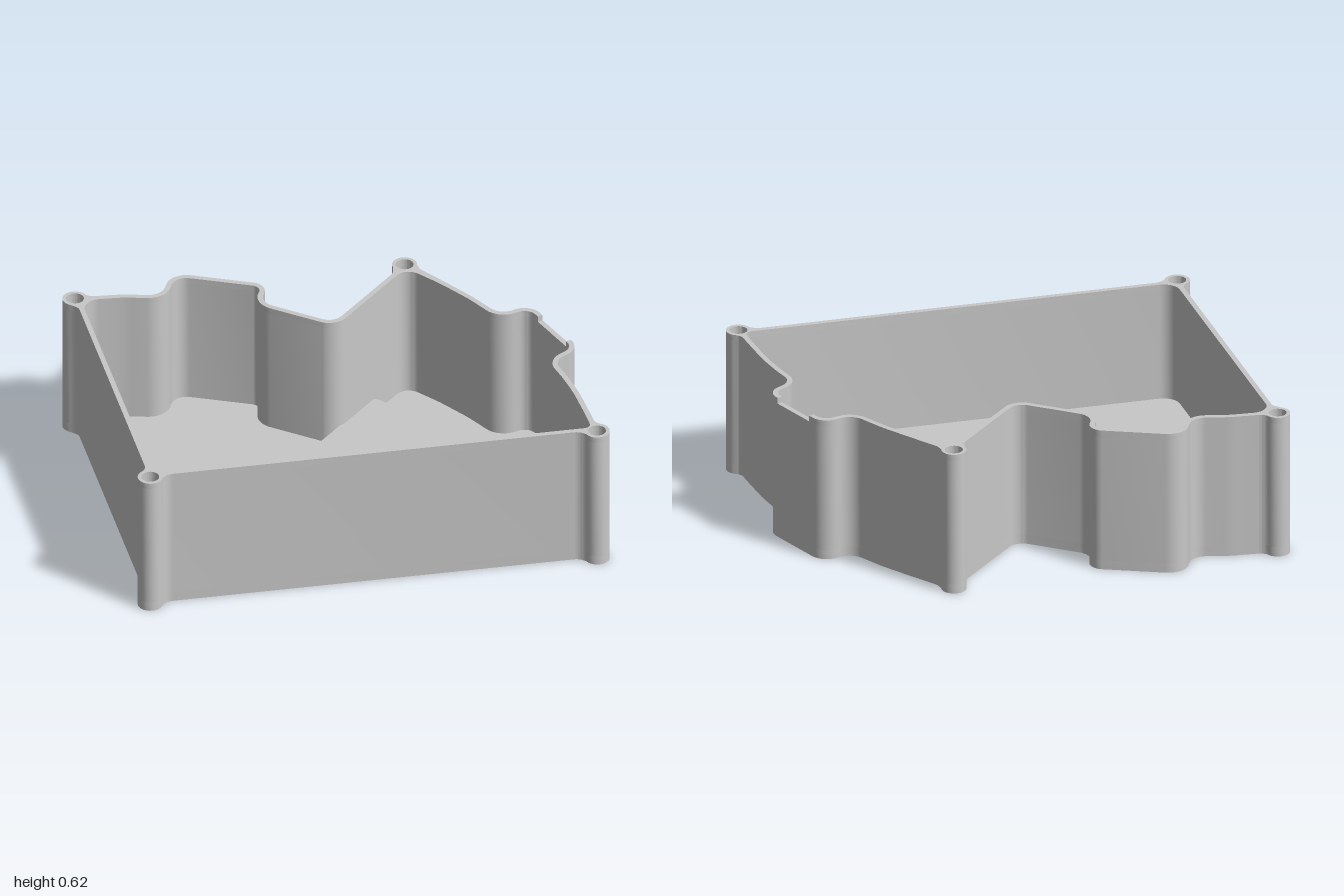
import * as THREE from 'three';
import { toCreasedNormals } from 'three/addons/utils/BufferGeometryUtils.js';

const HEIGHT = 0.617, FLOOR = 0.04, LEDGE = 0.11, NOTCH = 0.592, WALL = 0.022;
const POSTS = { bl: [-0.947, -0.645], br: [0.403, -0.645], fr: [0.948, 0.672], fl: [-0.882, 0.672] };

// Wall runs between the corner posts, as [x, z, corner radius]
const BACK = [
  [-0.75, -0.638, 0.4], [-0.6, -0.603, 0.07], [-0.533, -0.755, 0.085], [-0.16, -0.602, 0.075],
  [-0.222, -0.485, 0.07], [0.048, -0.287, 0.06],
];
const NOTCH_A = [0.883, -0.185, 0], NOTCH_B = [0.962, 0.01, 0];
const RIGHT = [
  [0.533, -0.5, 0.8], [0.63, -0.366, 0.8], [0.715, -0.222, 0.07], [0.85, -0.268, 0.08], NOTCH_A, NOTCH_B,
  [0.99, 0.08, 0.075], [0.867, 0.143, 0.07], [0.9, 0.26, 0.5], [0.925, 0.377, 0.8], [0.946, 0.564, 0.8],
];

// Points around the outside of a corner post
function postArc([cx, cz], from, to) {
  const pts = [];
  for (let i = 0; i <= 16; i++) {
    const a = THREE.MathUtils.degToRad(from + (to - from) * i / 16);
    pts.push([cx + 0.051 * Math.cos(a), cz + 0.051 * Math.sin(a), 0]);
  }
  return pts;
}

// Closed polyline with its corners rounded by circular arcs
function rounded(list) {
  const out = [], n = list.length;
  const add = p => {
    if (!out.length || out[out.length - 1].distanceTo(p) > 1e-4) out.push(p);
  };
  const v = list.map(p => new THREE.Vector2(p[0], p[1]));
  list.forEach(([, , r], i) => {
    const p = v[i], prev = (i + n - 1) % n, next = (i + 1) % n;
    if (!r) return add(p);
    const a = v[prev].clone().sub(p), b = v[next].clone().sub(p);
    const la = a.length(), lb = b.length();
    const room = k => (list[k][2] ? 0.49 : 0.95);
    const turn = Math.PI - Math.acos(THREE.MathUtils.clamp(a.dot(b) / (la * lb), -1, 1));
    const len = Math.min(r * Math.tan(turn / 2), la * room(prev), lb * room(next));
    const start = p.clone().addScaledVector(a, len / la), end = p.clone().addScaledVector(b, len / lb);
    for (let j = 0; j <= 10; j++) {
      const t = j / 10, w0 = (1 - t) ** 2, w1 = 2 * t * (1 - t) * Math.cos(turn / 2), w2 = t * t;
      add(new THREE.Vector2().addScaledVector(start, w0).addScaledVector(p, w1)
        .addScaledVector(end, w2).divideScalar(w0 + w1 + w2));
    }
  });
  return out;
}

// Moves a closed polyline inward by a fixed distance
function inset(pts, d) {
  const n = pts.length;
  const normal = (p, q) => new THREE.Vector2(p.y - q.y, q.x - p.x).normalize();
  return pts.map((p, i) => {
    const n1 = normal(pts[(i + n - 1) % n], p), n2 = normal(p, pts[(i + 1) % n]);
    const m = n1.clone().add(n2).normalize();
    return p.clone().addScaledVector(m, d / Math.max(m.dot(n1), 0.5));
  });
}

// Plan points to shape points, wound counter-clockwise so that holes face inward
const toShape = pts => pts.map(p => new THREE.Vector2(p.x, -p.y)).reverse();

function addScrewHoles(shape) {
  for (const [x, z] of Object.values(POSTS)) {
    shape.holes.push(new THREE.Path().absarc(x, -z, 0.036, 0, Math.PI * 2, true));
  }
  return shape;
}

// Part of a closed polyline from one index to another, wrapping round
function run(pts, from, to) {
  const out = [];
  for (let i = from; ; i = (i + 1) % pts.length) {
    out.push(pts[i]);
    if (i === to) return out;
  }
}

const indexOfPoint = (pts, [x, z]) => pts.findIndex(p => Math.hypot(p.x - x, p.y - z) < 1e-3);

export function createModel() {
  const group = new THREE.Group();
  group.name = 'enclosure';
  const grey = new THREE.MeshStandardMaterial({ color: 0xc8c8c8 });
  grey.name = 'grey plastic';

  const addPart = (name, shape, y0, y1) => {
    const geo = new THREE.ExtrudeGeometry(shape, { depth: y1 - y0, bevelEnabled: false, curveSegments: 24 });
    geo.rotateX(-Math.PI / 2).translate(0, y0, 0);
    const mesh = new THREE.Mesh(toCreasedNormals(geo, 0.6), grey);
    mesh.name = name;
    group.add(mesh);
  };

  // Outside contour, with posts and small fillets beside them
  const outer = rounded([
    ...postArc(POSTS.bl, 120, 340), [-0.88, -0.648, 0.05], ...BACK,
    [0.345, -0.59, 0.04], ...postArc(POSTS.br, 165, 375), [0.458, -0.6, 0.04], ...RIGHT,
    [0.949, 0.61, 0.04], ...postArc(POSTS.fr, -65, 160), [0.875, 0.668, 0.06],
    [-0.81, 0.668, 0.06], ...postArc(POSTS.fl, 20, 245), [-0.889, 0.605, 0.04], [-0.944, -0.575, 0.04],
  ]);

  // Inside contour, running past the posts with rounded corners
  const wallLine = rounded([
    [-0.949, -0.65, 0.1], ...BACK, [0.403, -0.65, 0.08], ...RIGHT, [0.953, 0.668, 0.09], [-0.886, 0.668, 0.09],
  ]);
  const inner = inset(wallLine, WALL);

  // Floor
  addPart('floor', new THREE.Shape(toShape(outer)), 0, FLOOR);

  // Walls with screw holes in the posts
  const ring = new THREE.Shape(toShape(outer));
  ring.holes.push(new THREE.Path(toShape(inner)));
  addPart('walls', addScrewHoles(ring), FLOOR, NOTCH);

  // Top rim, left open at the cable notch
  const outerRun = run(outer, indexOfPoint(outer, NOTCH_B), indexOfPoint(outer, NOTCH_A));
  const innerRun = run(inner, indexOfPoint(wallLine, NOTCH_B), indexOfPoint(wallLine, NOTCH_A));
  const rim = new THREE.Shape(toShape([...outerRun, ...innerRun.reverse()]));
  addPart('rim', addScrewHoles(rim), NOTCH, HEIGHT);

  // Raised inner floor bounded by two arcs
  const ledge = new THREE.Shape();
  ledge.moveTo(-0.925, 0.4);
  ledge.lineTo(-0.82, 0.4);
  ledge.quadraticCurveTo(-0.45, 0.4, -0.16, 0.135);
  ledge.quadraticCurveTo(-0.115, 0.1, -0.075, 0.14);
  ledge.lineTo(0.225, 0.445);
  ledge.quadraticCurveTo(0.245, 0.46, 0.265, 0.44);
  ledge.quadraticCurveTo(0.67, 0, 0.708, -0.63);
  ledge.lineTo(0.695, -0.655);
  ledge.lineTo(-0.83, -0.655);
  ledge.lineTo(-0.872, -0.61);
  addPart('raisedFloor', ledge, FLOOR, LEDGE);

  return group;
}
